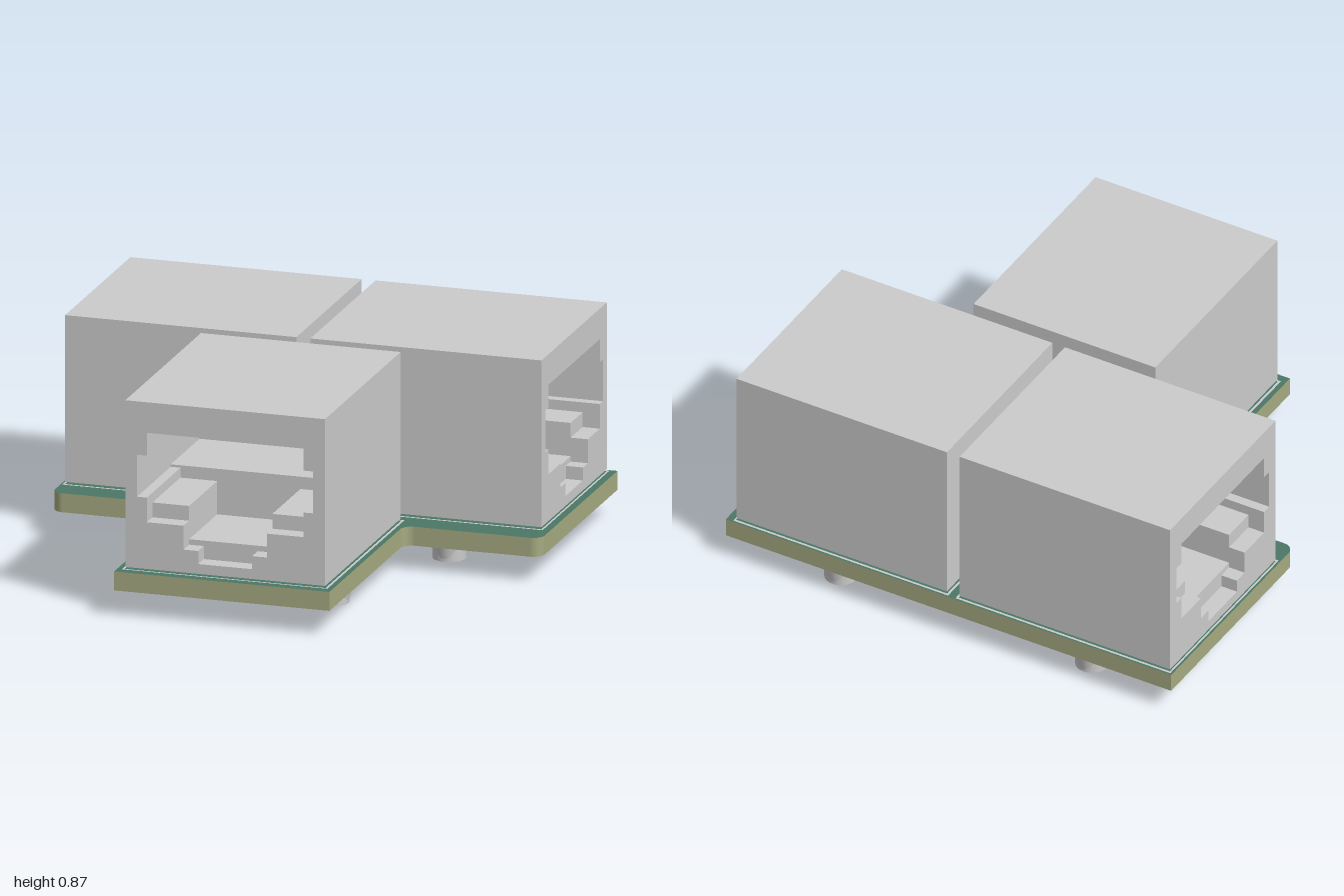
import * as THREE from 'three';
import { mergeGeometries } from 'three/addons/utils/BufferGeometryUtils.js';

const paint = (color) => new THREE.MeshStandardMaterial({ color });
const grey = paint(0xcccccc);
const green = paint(0x4c7767);
const edge = paint(0xa6aa80);
const brown = paint(0x8a5a3c);

function add(parent, name, geometry, material = grey) {
  const mesh = new THREE.Mesh(geometry, material);
  mesh.name = name;
  parent.add(mesh);
  return mesh;
}

// Closed outline from its +x half, listed top to bottom
function mirrored(half) {
  const left = half.map(([x, y]) => [-x, y]).reverse();
  return [...half, ...left].map(([x, y]) => new THREE.Vector2(x, y));
}

function rect(x0, y0, x1, y1) {
  return [[x0, y0], [x1, y0], [x1, y1], [x0, y1]].map(([x, y]) => new THREE.Vector2(x, y));
}

// Jack dimensions
const W = 0.408, D = 0.945, Y0 = 0.19, Y1 = 0.867;

// Socket cross-sections from the mouth inwards: half outline, start and end depth
const upper = [[0.32, 0.743], [0.32, 0.65], [0.36, 0.65], [0.36, 0.48]];
const layers = [
  [[...upper, [0.32, 0.48], [0.32, 0.38], [0.17, 0.38], [0.17, 0.283], [0.11, 0.283], [0.11, 0.23]], 0, 0.07],
  [[...upper, [0.32, 0.48], [0.32, 0.44], [0.17, 0.44], [0.17, 0.305]], 0.07, 0.42],
  [[...upper.slice(0, 3), [0.36, 0.49]], 0.42, 0.78],
  [null, 0.78, D],
];

function jackBody() {
  return mergeGeometries(layers.map(([half, from, to]) => {
    const shape = new THREE.Shape(rect(-W, Y0, W, Y1));
    if (half) shape.holes.push(new THREE.Path(mirrored(half)));
    const g = new THREE.ExtrudeGeometry(shape, { depth: to - from, bevelEnabled: false });
    return g.translate(0, 0, -to);
  }));
}

// Jack with its mouth on z = 0, facing +z
function makeJack(name, x, z, turn) {
  const jack = new THREE.Group();
  jack.name = name;
  add(jack, 'housing', jackBody());

  // Eight spring contacts slanting down from the roof
  for (let i = 0; i < 8; i++) {
    const cx = (i - 3.5) * 0.0553;
    const path = new THREE.CatmullRomCurve3([
      new THREE.Vector3(cx, 0.74, -0.1),
      new THREE.Vector3(cx, 0.72, -0.18),
      new THREE.Vector3(cx, 0.655, -0.5),
      new THREE.Vector3(cx, 0.66, -0.53),
    ]);
    add(jack, 'springContact', new THREE.TubeGeometry(path, 8, 0.011, 6));
  }

  // Two mounting pegs with tapered barbs
  for (const s of [-1, 1]) {
    const peg = new THREE.Group();
    peg.name = 'mountingPeg';
    peg.position.set(s * 0.305, 0, -0.41);
    add(peg, 'pegCore', new THREE.CylinderGeometry(0.07, 0.066, 0.19, 24)).position.y = 0.095;
    const barb = add(peg, 'pegBarb', new THREE.CylinderGeometry(0.085, 0.064, 0.105, 24));
    barb.position.y = 0.0525;
    barb.scale.z = 0.82;
    jack.add(peg);
  }

  // Six solder pins staggered over two rows, with pads under the board
  for (let i = 0; i < 6; i++) {
    const px = (i - 2.5) * 0.0685;
    const pz = i % 2 ? -0.882 : -0.745;
    add(jack, 'solderPin', new THREE.BoxGeometry(0.02, 0.175, 0.02)).position.set(px, 0.1025, pz);
    add(jack, 'solderPad', new THREE.CylinderGeometry(0.028, 0.028, 0.006, 16)).position.set(px, 0.104, pz);
  }

  // Printed border on the board around the jack
  const border = new THREE.Shape(rect(-W - 0.012, -0.008, W + 0.012, D + 0.012));
  border.holes.push(new THREE.Path(rect(-W - 0.002, 0, W + 0.002, D + 0.002)));
  add(jack, 'printedBorder', new THREE.ShapeGeometry(border).rotateX(-Math.PI / 2)).position.y = 0.182;

  jack.position.set(x, 0, z);
  jack.rotation.y = turn;
  return jack;
}

// T-shaped circuit board with rounded shoulders
function boardGeometry() {
  const r = 0.045, s = 0.44, f = -0.01, back = 0.945, front = -0.94;
  const p = new THREE.Shape();
  p.moveTo(-s, front);
  p.lineTo(s, front);
  p.lineTo(s, f - r);
  p.absarc(s + r, f - r, r, Math.PI, Math.PI / 2, true);
  p.lineTo(1 - r, f);
  p.absarc(1 - r, f + r, r, -Math.PI / 2, 0, false);
  p.lineTo(1, back);
  p.lineTo(-1, back);
  p.lineTo(-1, f + r);
  p.absarc(-1 + r, f + r, r, Math.PI, Math.PI * 1.5, false);
  p.lineTo(-s - r, f);
  p.absarc(-s - r, f - r, r, Math.PI / 2, 0, true);
  p.closePath();
  const g = new THREE.ExtrudeGeometry(p, { depth: 0.077, bevelEnabled: false, curveSegments: 10 });
  return g.rotateX(-Math.PI / 2).translate(0, 0.104, 0);
}

export function createModel() {
  const model = new THREE.Group();
  model.name = 'connectorBoard';
  add(model, 'circuitBoard', boardGeometry(), [green, edge]);

  model.add(makeJack('frontJack', 0, 0.898, 0));
  model.add(makeJack('leftJack', 0.963, -0.518, Math.PI / 2));
  model.add(makeJack('rightJack', -0.984, -0.518, -Math.PI / 2));

  // Small chip part under the board
  const chip = new THREE.Group();
  chip.name = 'chipCapacitor';
  chip.position.set(-0.042, 0.082, -0.096);
  add(chip, 'chipBody', new THREE.BoxGeometry(0.045, 0.042, 0.04), brown);
  for (const s of [-1, 1]) {
    add(chip, 'chipEnd', new THREE.BoxGeometry(0.017, 0.046, 0.043)).position.x = s * 0.03;
  }
  model.add(chip);
  return model;
}
